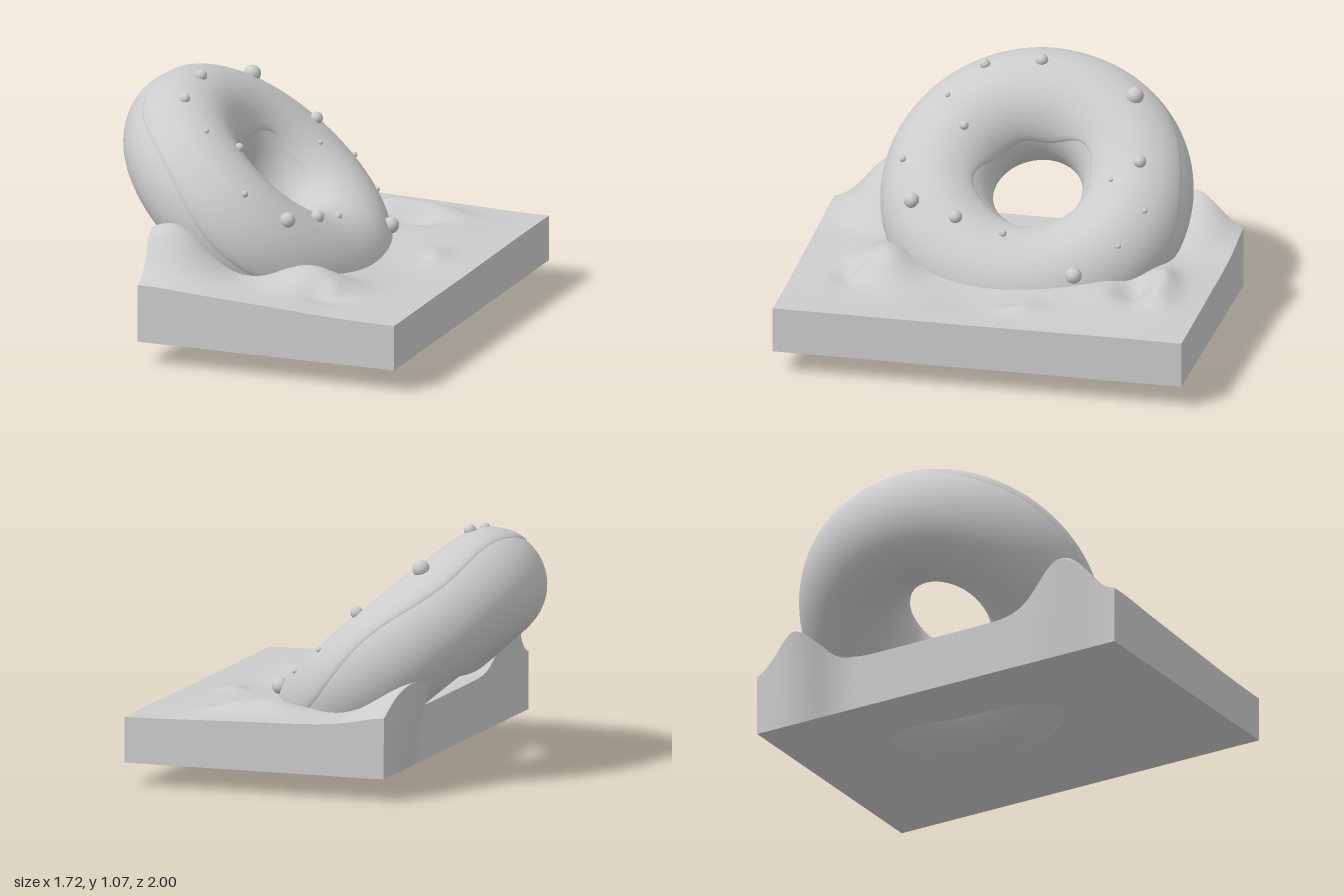
import * as THREE from 'three';
import { mergeVertices } from 'three/addons/utils/BufferGeometryUtils.js';

const material = new THREE.MeshStandardMaterial({ color: 0xcccccc, roughness: 0.7 });
const RING = 0.435;  // radius of the ring's centre line
const TUBE = 0.24;   // radius of the dough

function addMesh(parent, name, geometry) {
  const mesh = new THREE.Mesh(geometry, material);
  mesh.name = name;
  parent.add(mesh);
  return mesh;
}

const bell = (x, z, cx, cz, sx, sz) => Math.exp(-(((x - cx) / sx) ** 2) - ((z - cz) / sz) ** 2);

// Soft mounds and dents of the base: [x, z, height, spread x, spread z]
const MOUNDS = [
  [-0.53, 0.53, 0.225, 0.19, 0.16],
  [-0.36, -0.8, 0.16, 0.17, 0.16],
  [0.07, 0.52, 0.09, 0.18, 0.13],
  [0.16, 0.68, -0.025, 0.1, 0.06],
  [0.19, 0.63, 0.02, 0.05, 0.05],
  [0.3, -0.55, 0.035, 0.3, 0.3],
  [0.22, -0.68, 0.04, 0.12, 0.06],
  [0.4, -0.66, 0.03, 0.12, 0.07],
  [0.3, -0.55, -0.05, 0.13, 0.08],
  [0.49, -0.07, 0.025, 0.07, 0.1],
  [0.45, -0.04, -0.012, 0.04, 0.06],
  [0.38, 0.15, -0.015, 0.18, 0.18],
];

function groundHeight(x, z) {
  let y = 0.3 + 0.04 * THREE.MathUtils.smoothstep(0.5 - x, 0, 1);
  for (const [cx, cz, h, sx, sz] of MOUNDS) y += h * bell(x, z, cx, cz, sx, sz);
  return y;
}

// Slab with a flat underside and a rolling top
function slabGeometry() {
  const geometry = new THREE.BoxGeometry(1.19, 1, 1.81, 80, 1, 120);
  geometry.rotateY(-0.185);
  geometry.translate(0.11, 0, 0);
  const p = geometry.attributes.position;
  for (let i = 0; i < p.count; i++) {
    const x = p.getX(i), z = p.getZ(i);
    if (p.getY(i) < 0) {
      p.setY(i, 0.1);
    } else {
      // the two tall mounds sag over the edge
      const sag = 0.1 * bell(x, z, -0.38, -0.74, 0.15, 0.13) + 0.035 * bell(x, z, -0.6, 0.52, 0.1, 0.14);
      p.setXYZ(i, x - sag, groundHeight(x, z), z);
    }
  }
  geometry.computeVertexNormals();
  return geometry;
}

// Surface swept around the ring; range(a) gives the tube angles, radius(v) the thickness
function ringSurface(range, radius, vSegments) {
  const geometry = new THREE.PlaneGeometry(1, 1, 128, vSegments);
  const p = geometry.attributes.position;
  for (let i = 0; i < p.count; i++) {
    const a = (p.getX(i) + 0.5) * Math.PI * 2, v = p.getY(i) + 0.5;
    const [lo, hi] = range(a);
    const t = lo + (hi - lo) * v, r = radius(v);
    const d = RING + r * Math.cos(t);
    p.setXYZ(i, d * Math.cos(a), r * Math.sin(t), -d * Math.sin(a));
  }
  geometry.deleteAttribute('uv');
  geometry.deleteAttribute('normal');
  const merged = mergeVertices(geometry, 1e-5);
  merged.computeVertexNormals();
  return merged;
}

// Sprinkle beads: [x, y, z, radius]
const BEADS = [
  [-0.39, 0.95, -0.53, 0.038], [-0.12, 0.745, -0.56, 0.028], [0.05, 0.59, -0.59, 0.013],
  [0.17, 0.47, -0.48, 0.011], [-0.08, 0.67, -0.44, 0.01], [0.27, 0.37, -0.29, 0.036],
  [-0.54, 1.04, -0.12, 0.027], [0.09, 0.48, 0.025, 0.017], [-0.56, 1.02, 0.13, 0.023],
  [-0.435, 0.92, 0.285, 0.012], [-0.32, 0.815, 0.21, 0.02], [0.04, 0.54, 0.23, 0.029],
  [-0.05, 0.58, 0.425, 0.034], [-0.23, 0.7, 0.47, 0.015],
];

export function createModel() {
  const model = new THREE.Group();
  model.name = 'doughnutOnBase';

  addMesh(model, 'base', slabGeometry());

  // Tilted doughnut sunk through the base
  const doughnut = new THREE.Group();
  doughnut.name = 'doughnut';
  doughnut.position.set(-0.287, 0.522, -0.112);
  doughnut.rotation.set(0.07, 0, -0.703, 'ZYX');
  model.add(doughnut);

  addMesh(doughnut, 'dough', ringSurface(() => [0, Math.PI * 2], () => TUBE, 48));

  // Icing with a wavy hem, rounded off where it meets the dough
  const hem = (a) => [
    0.2 + 0.3 * Math.cos(a - 2.1) + 0.09 * Math.sin(5 * a),
    Math.PI - 0.5 + 0.2 * Math.sin(2 * a + 1) + 0.08 * Math.sin(5 * a),
  ];
  const icing = (v) => {
    const edge = Math.min(1, Math.min(v, 1 - v) / 0.08);
    return TUBE - 0.003 + 0.01 * Math.sqrt(edge * (2 - edge));
  };
  addMesh(doughnut, 'icing', ringSurface(hem, icing, 64));

  // Beads scattered over the icing, nudged to sit half sunk in its surface
  const sprinkles = new THREE.Group();
  sprinkles.name = 'sprinkles';
  doughnut.add(sprinkles);
  doughnut.updateMatrixWorld();
  for (const [x, y, z, r] of BEADS) {
    const bead = addMesh(sprinkles, 'sprinkle', new THREE.SphereGeometry(r, 20, 14));
    const at = doughnut.worldToLocal(new THREE.Vector3(x, y, z));
    const core = new THREE.Vector3(at.x, 0, at.z).setLength(RING);
    bead.position.copy(at.sub(core).setLength(TUBE + 0.007 + 0.2 * r).add(core));
  }
  return model;
}
